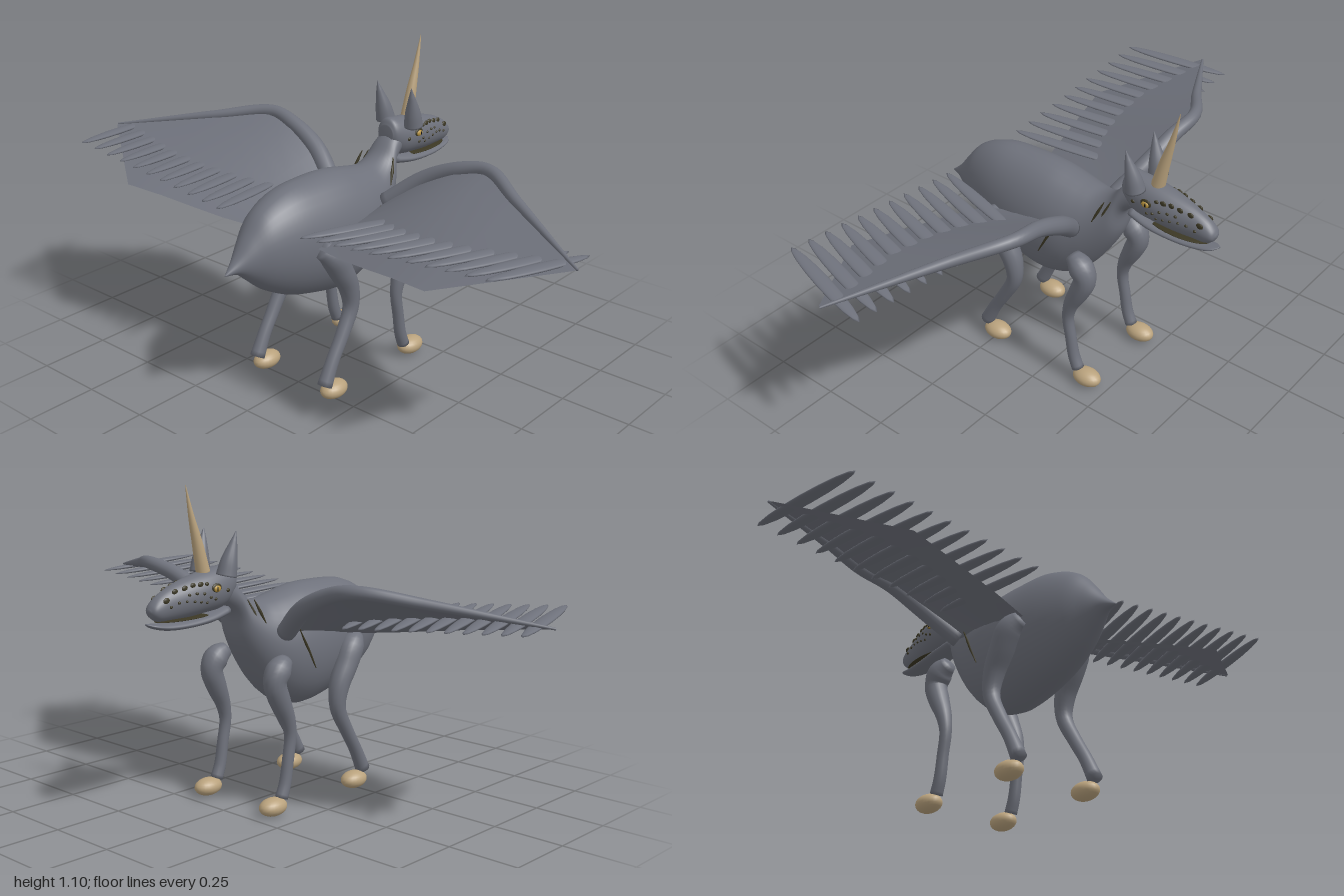
import * as THREE from 'three';

const V = (x, y, z) => new THREE.Vector3(x, y, z);
const material = (name, color, side = THREE.FrontSide) => {
  const m = new THREE.MeshStandardMaterial({ color, side });
  m.name = name;
  return m;
};

// Skin stretched over elliptical sections { c, u, v }, closed at both ends
function loft(sections, n = 24) {
  const first = sections[0], last = sections[sections.length - 1], o = V(0, 0, 0);
  const all = [{ c: first.c, u: o, v: o }, ...sections, { c: last.c, u: o, v: o }];
  const pos = [], idx = [];
  all.forEach(({ c, u, v }, i) => {
    for (let j = 0; j < n; j++) {
      const t = (j / n) * Math.PI * 2;
      const p = c.clone().addScaledVector(u, Math.cos(t)).addScaledVector(v, Math.sin(t));
      pos.push(p.x, p.y, p.z);
      if (i < all.length - 1) {
        const a = i * n + j, b = i * n + (j + 1) % n;
        idx.push(a, b, a + n, b, b + n, a + n);
      }
    }
  });
  return surface(pos, idx);
}

function surface(pos, idx) {
  const g = new THREE.BufferGeometry();
  g.setAttribute('position', new THREE.Float32BufferAttribute(pos, 3));
  g.setIndex(idx);
  g.computeVertexNormals();
  return g;
}

// Symmetric hull from rows of [top x, top y, bottom x, bottom y, half width]
function hull(rows, steps = 48) {
  const top = new THREE.CatmullRomCurve3(rows.map(r => V(r[0], r[1], r[4])));
  const low = new THREE.CatmullRomCurve3(rows.map(r => V(r[2], r[3], r[4])));
  const sections = [];
  for (let i = 0; i <= steps; i++) {
    const a = top.getPoint(i / steps), b = low.getPoint(i / steps);
    const w = Math.max(a.z, 0.001);
    a.z = b.z = 0;
    sections.push({
      c: a.clone().add(b).multiplyScalar(0.5),
      u: a.clone().sub(b).multiplyScalar(0.5),
      v: V(0, 0, w),
    });
  }
  return loft(sections, 32);
}

// Tapered tube through points [x, y, z, radius]
function limb(points, ref, steps = 32, n = 16) {
  const path = new THREE.CatmullRomCurve3(points.map(p => V(p[0], p[1], p[2])));
  const size = new THREE.CatmullRomCurve3(points.map((p, i) => V(p[3], i * 0.05, 0)));
  const sections = [];
  for (let i = 0; i <= steps; i++) {
    const t = path.getTangent(i / steps), r = Math.max(size.getPoint(i / steps).x, 0.0005);
    const v = ref.clone().addScaledVector(t, -ref.dot(t)).normalize();
    const u = v.clone().cross(t).multiplyScalar(r);
    sections.push({ c: path.getPoint(i / steps), u, v: v.multiplyScalar(r) });
  }
  return loft(sections, n);
}

function mirrored(geo) {
  const g = geo.clone().scale(1, 1, -1), a = g.index.array;
  for (let i = 0; i < a.length; i += 3) [a[i], a[i + 1]] = [a[i + 1], a[i]];
  return g;
}

const ball = (x, y, z, rx, ry, rz, n = 16) =>
  new THREE.SphereGeometry(1, n, Math.max(8, n / 2)).scale(rx, ry, rz).translate(x, y, z);

export function createModel() {
  const model = new THREE.Group();
  const hide = material('grey hide', 0x6e717b);
  const web = material('grey wing skin', 0x6e717b, THREE.DoubleSide);
  const horn = material('tan horn', 0xb9a27d);
  const olive = material('dark olive', 0x3b3724);
  const gold = material('gold eye', 0xb8943f);
  const black = material('black pupil', 0x111111);

  const add = (name, geo, mat) => {
    const m = new THREE.Mesh(geo, mat);
    m.name = name;
    model.add(m);
  };
  const pair = (name, geo, mat) => {
    add(name, geo, mat);
    add(name, mirrored(geo), mat);
  };

  // Body from tail tip to neck
  add('body', hull([
    [-0.575, 0.522, -0.575, 0.518, 0.002], [-0.53, 0.562, -0.53, 0.51, 0.025],
    [-0.48, 0.625, -0.48, 0.47, 0.055], [-0.42, 0.69, -0.42, 0.42, 0.088],
    [-0.32, 0.733, -0.32, 0.366, 0.12], [-0.2, 0.742, -0.2, 0.331, 0.14],
    [-0.08, 0.738, -0.09, 0.315, 0.145], [0, 0.722, 0.0, 0.337, 0.139],
    [0.06, 0.71, 0.07, 0.39, 0.122], [0.11, 0.705, 0.14, 0.48, 0.1],
    [0.16, 0.724, 0.195, 0.58, 0.076], [0.205, 0.77, 0.212, 0.67, 0.055],
    [0.25, 0.81, 0.26, 0.71, 0.045],
  ], 60), hide);

  // Head
  const skull = [
    [0.212, 0.815, 0.212, 0.755, 0.03], [0.225, 0.838, 0.23, 0.72, 0.045],
    [0.27, 0.835, 0.27, 0.698, 0.056], [0.34, 0.825, 0.34, 0.69, 0.06],
    [0.41, 0.81, 0.41, 0.684, 0.053], [0.48, 0.788, 0.48, 0.683, 0.039],
    [0.53, 0.763, 0.53, 0.686, 0.032], [0.552, 0.742, 0.552, 0.7, 0.024],
    [0.561, 0.726, 0.561, 0.716, 0.008],
  ];
  add('head', hull(skull), hide);
  add('lowerJaw', hull([
    [0.24, 0.705, 0.24, 0.67, 0.034], [0.32, 0.69, 0.32, 0.656, 0.044],
    [0.42, 0.679, 0.42, 0.65, 0.041], [0.5, 0.678, 0.5, 0.654, 0.033],
    [0.55, 0.682, 0.55, 0.667, 0.024], [0.572, 0.684, 0.572, 0.679, 0.006],
  ], 28), hide);
  add('mouth', ball(0.42, 0.684, 0, 0.115, 0.005, 0.042, 24), olive);
  add('horn', limb([[0.33, 0.815, 0, 0.024], [0.353, 0.91, 0, 0.018],
    [0.378, 1.0, 0, 0.01], [0.401, 1.1, 0, 0.001]], V(0, 0, 1)), horn);
  pair('ear', limb([[0.288, 0.81, 0.062, 0.034], [0.278, 0.86, 0.066, 0.027],
    [0.263, 0.92, 0.072, 0.011], [0.256, 0.952, 0.075, 0.001]], V(0, 0, 1)), hide);

  // Side depth of the head at a given point
  const headSide = (x, y) => {
    const i = Math.max(1, skull.findIndex(r => r[0] >= x));
    const k = (x - skull[i - 1][0]) / (skull[i][0] - skull[i - 1][0]);
    const [, t, , b, w] = skull[i].map((s, j) => THREE.MathUtils.lerp(skull[i - 1][j], s, k));
    return w * Math.sqrt(Math.max(0, 1 - ((2 * y - t - b) / (t - b)) ** 2));
  };

  // Eyes and scale spots: [x, y, radius]
  pair('eyeRim', ball(0.326, 0.775, headSide(0.326, 0.775), 0.021, 0.015, 0.006), olive);
  pair('eye', ball(0.326, 0.773, headSide(0.326, 0.775) + 0.003, 0.015, 0.011, 0.007), gold);
  pair('pupil', ball(0.329, 0.773, headSide(0.326, 0.775) + 0.008, 0.003, 0.008, 0.003), black);
  const spots = [
    [0.275, 0.762, 0.008], [0.36, 0.79, 0.008], [0.383, 0.79, 0.012], [0.41, 0.79, 0.011],
    [0.44, 0.783, 0.012], [0.475, 0.776, 0.012], [0.512, 0.752, 0.013],
    [0.33, 0.74, 0.006], [0.352, 0.748, 0.006], [0.377, 0.762, 0.006], [0.405, 0.765, 0.006],
    [0.432, 0.763, 0.006], [0.365, 0.732, 0.005], [0.39, 0.737, 0.005], [0.415, 0.741, 0.005],
    [0.443, 0.744, 0.005], [0.47, 0.742, 0.006], [0.5, 0.732, 0.006],
  ];
  for (const [x, y, r] of spots) pair('scaleSpot', ball(x, y, headSide(x, y), r, r * 0.8, 0.005, 12), olive);

  // Dark slits on the neck and flank
  const slit = (a, b, r) => pair('slit', limb([[...a, r * 0.3],
    [(a[0] + b[0]) / 2, (a[1] + b[1]) / 2, (a[2] + b[2]) / 2, r], [...b, r * 0.3]], V(0, 0, 1), 8, 8), olive);
  for (let i = 0; i < 3; i++) {
    const d = i * 0.02;
    slit([0.133 + d, 0.638, 0.089 - d * 0.5], [0.17 + d * 0.8, 0.72, 0.07 - d * 0.7], 0.005);
  }
  slit([-0.055, 0.465, 0.142], [0.022, 0.61, 0.137], 0.005);

  // Legs and hooves
  pair('frontLeg', limb([[0.095, 0.515, 0.14, 0.026], [0.135, 0.49, 0.148, 0.043],
    [0.156, 0.45, 0.15, 0.039], [0.135, 0.39, 0.152, 0.036], [0.101, 0.32, 0.155, 0.027],
    [0.088, 0.26, 0.156, 0.021], [0.1, 0.18, 0.157, 0.02], [0.114, 0.1, 0.157, 0.021],
    [0.132, 0.052, 0.157, 0.022]], V(0, 0, 1)), hide);
  pair('hindLeg', limb([[-0.275, 0.545, 0.13, 0.028], [-0.235, 0.515, 0.145, 0.044],
    [-0.2, 0.455, 0.15, 0.042], [-0.163, 0.385, 0.152, 0.036], [-0.154, 0.31, 0.155, 0.028],
    [-0.2, 0.22, 0.157, 0.024], [-0.25, 0.14, 0.157, 0.023], [-0.29, 0.062, 0.157, 0.026]],
    V(0, 0, 1)), hide);
  for (const x of [-0.243, 0.172]) pair('hoof', ball(x, 0.032, 0.157, 0.055, 0.031, 0.039, 24), horn);

  // Wing arm along the leading edge
  const arm = [[0.07, 0.605, 0.12, 0.033], [0.12, 0.7, 0.24, 0.032], [0.137, 0.76, 0.36, 0.027],
    [0.142, 0.785, 0.48, 0.023], [0.035, 0.758, 0.66, 0.018], [-0.16, 0.7, 0.996, 0.004]];
  pair('wingArm', limb(arm, V(0, 1, 0), 40), hide);

  // Wing skin between the arm and the trailing edge
  const trail = [[-0.28, 0.55, 0.12], [-0.325, 0.567, 0.27], [-0.352, 0.583, 0.39],
    [-0.378, 0.6, 0.51], [-0.41, 0.615, 0.65], [-0.17, 0.698, 0.99]];
  const pos = [], idx = [], cols = 6;
  arm.forEach((a, i) => {
    for (let j = 0; j <= cols; j++) {
      for (let k = 0; k < 3; k++) pos.push(THREE.MathUtils.lerp(a[k], trail[i][k], j / cols));
      if (i < arm.length - 1 && j < cols) {
        const p = i * (cols + 1) + j, q = p + cols + 1;
        idx.push(p, p + 1, q, p + 1, q + 1, q);
      }
    }
  });
  // corners ordered so the upper side is the front
  for (let i = 0; i < idx.length; i += 3) [idx[i], idx[i + 1]] = [idx[i + 1], idx[i]];
  pair('wingSkin', surface(pos, idx), web);

  // Row of feathers along the trailing edge
  for (let i = 0; i < 11; i++) {
    const feather = new THREE.SphereGeometry(1, 16, 10).scale(0.205, 0.009, 0.024);
    feather.rotateZ(-0.08).rotateY(-0.23).translate(-0.23, 0.636 + 0.007 * i, 0.23 + 0.0685 * i);
    pair('feather', feather, hide);
  }
  return model;
}
